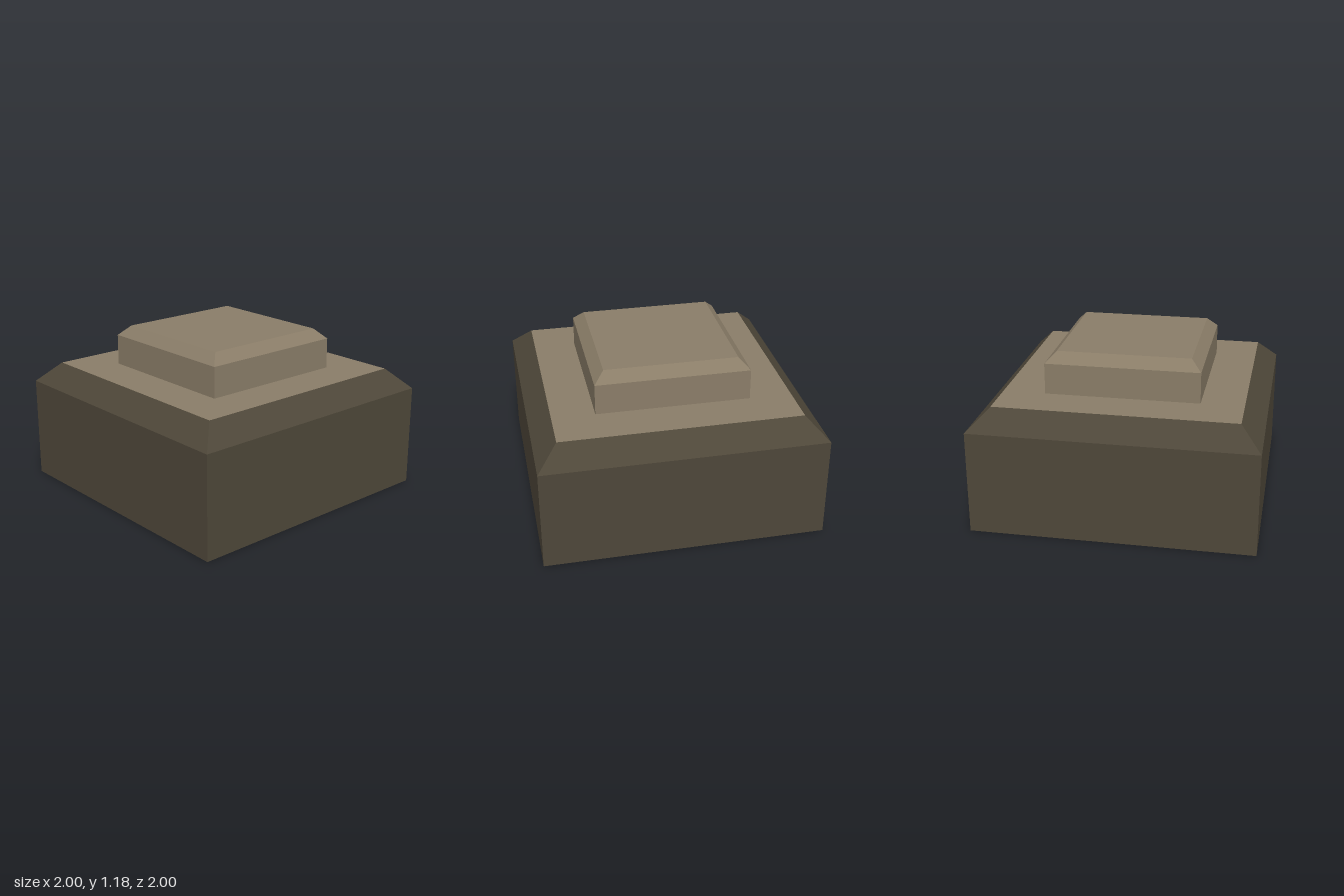
import * as THREE from 'three';

const stone = new THREE.MeshStandardMaterial({ color: 0x8a7d68, flatShading: true, side: THREE.DoubleSide });
stone.name = 'tanStone';
const darkStone = new THREE.MeshStandardMaterial({ color: 0x4e4739, flatShading: true, side: THREE.DoubleSide });
darkStone.name = 'darkStone';

// Open four-sided band between two square outlines (half widths)
function squareBand(name, lowHalf, highHalf, y0, y1, material) {
  const geometry = new THREE.CylinderGeometry(highHalf * Math.SQRT2, lowHalf * Math.SQRT2, y1 - y0, 4, 1, true);
  geometry.rotateY(Math.PI / 4);
  const mesh = new THREE.Mesh(geometry, material);
  mesh.name = name;
  mesh.position.y = (y0 + y1) / 2;
  return mesh;
}

// Flat square facing up
function squareTop(name, half, y, material) {
  const geometry = new THREE.PlaneGeometry(half * 2, half * 2);
  geometry.rotateX(-Math.PI / 2);
  const mesh = new THREE.Mesh(geometry, material);
  mesh.name = name;
  mesh.position.y = y;
  return mesh;
}

// Walls, bevel and flat top; the underside stays open
function bevelledBlock(name, half, topHalf, y0, yBevel, y1, sideMaterial, topMaterial) {
  const group = new THREE.Group();
  group.name = name;
  group.add(
    squareBand(name + 'Walls', half, half, y0, yBevel, sideMaterial),
    squareBand(name + 'Bevel', half, topHalf, yBevel, y1, sideMaterial),
    squareTop(name + 'Top', topHalf, y1, topMaterial)
  );
  return group;
}

export function createModel() {
  const model = new THREE.Group();
  model.name = 'steppedPlinth';
  model.add(
    bevelledBlock('base', 1, 0.852, 0, 0.741, 0.889, darkStone, stone),
    bevelledBlock('upperBlock', 0.548, 0.474, 0.889, 1.111, 1.185, stone, stone)
  );
  return model;
}
